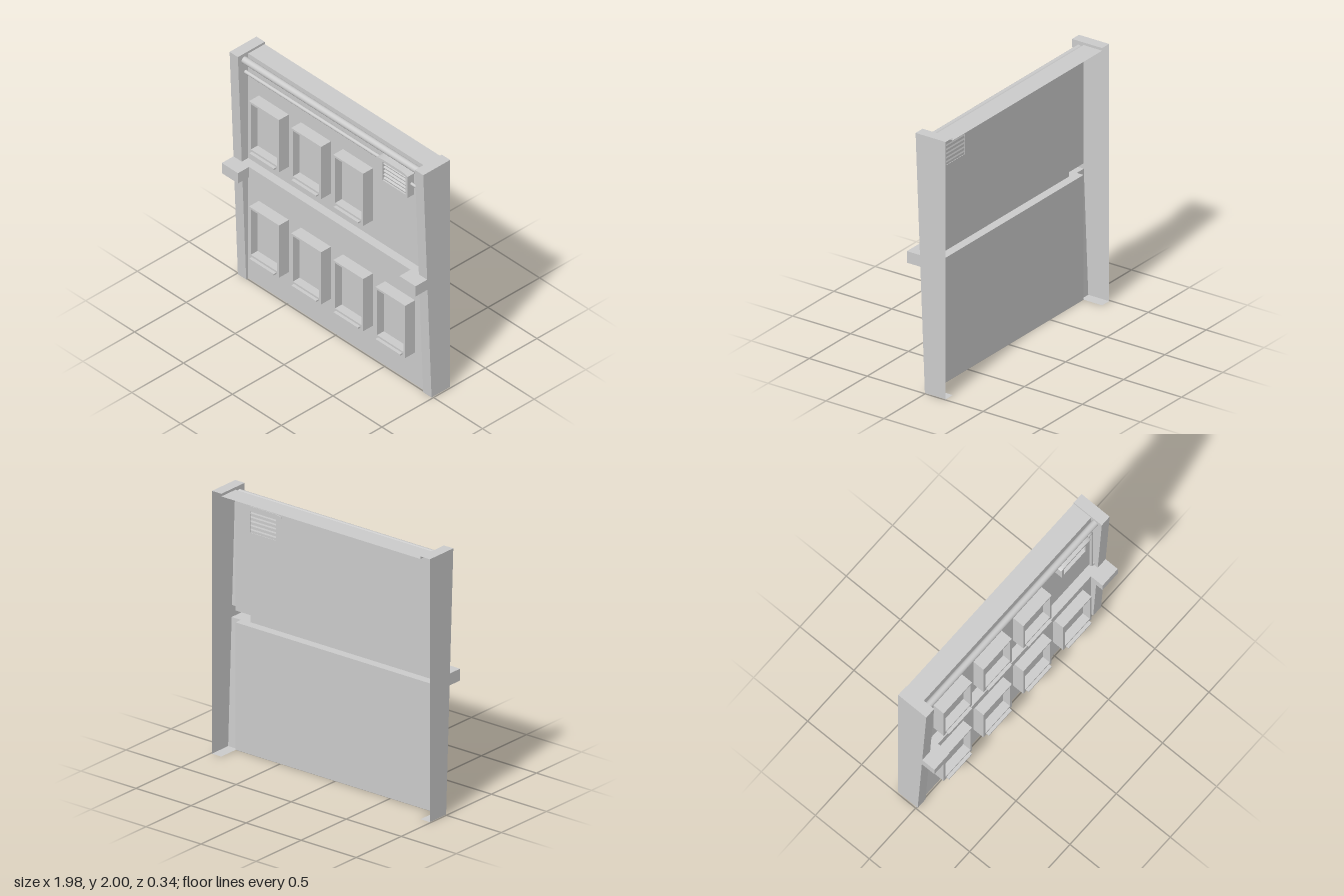
import * as THREE from 'three';

const flat = new THREE.MeshStandardMaterial({ color: 0xcccccc, flatShading: true, side: THREE.DoubleSide });
const smooth = new THREE.MeshStandardMaterial({ color: 0xcccccc, side: THREE.DoubleSide });

const WALL = -0.01, BACK = -0.17, BELT = 0.058, BLOCK = 0.165;
const EDGE = 0.99, INNER = 0.905, BLOCK_X = 0.825;
const BELT_LOW = 0.97, BELT_HIGH = 1.06, WALL_TOP = 1.98, TOP = 2;
const pillarZ = (y) => 0.01 + 0.04 * y; // the pillar fronts lean forward

function add(parent, name, geometry, material = flat) {
  const mesh = new THREE.Mesh(geometry, material);
  mesh.name = name;
  parent.add(mesh);
  return mesh;
}

function box(parent, name, x0, x1, y0, y1, z0, z1) {
  const mesh = add(parent, name, new THREE.BoxGeometry(x1 - x0, y1 - y0, z1 - z0));
  mesh.position.set((x0 + x1) / 2, (y0 + y1) / 2, (z0 + z1) / 2);
  return mesh;
}

// Sheet swept along x from a profile of [y, z] points
function sheet(profile, xa, xb) {
  const x0 = Math.min(xa, xb), x1 = Math.max(xa, xb), pos = [];
  for (let i = 0; i < profile.length - 1; i++) {
    const [y0, z0] = profile[i], [y1, z1] = profile[i + 1];
    pos.push(x0, y0, z0, x1, y0, z0, x1, y1, z1, x0, y0, z0, x1, y1, z1, x0, y1, z1);
  }
  const geometry = new THREE.BufferGeometry();
  geometry.setAttribute('position', new THREE.Float32BufferAttribute(pos, 3));
  geometry.computeVertexNormals();
  return geometry;
}

// Flat plate at a given x, outlined by [y, z] points
function plate(profile, x) {
  const shape = new THREE.Shape(profile.map(([y, z]) => new THREE.Vector2(-z, y)));
  return new THREE.ShapeGeometry(shape).rotateY(Math.PI / 2).translate(x, 0, 0);
}

// Rectangular frame with an opening; each rectangle is [x0, x1, y0, y1]
function frame(outer, inner, z0, z1) {
  const corners = ([x0, x1, y0, y1]) =>
    [[x0, y0], [x1, y0], [x1, y1], [x0, y1]].map(([x, y]) => new THREE.Vector2(x, y));
  const shape = new THREE.Shape(corners(outer));
  shape.holes.push(new THREE.Path(corners(inner)));
  return new THREE.ExtrudeGeometry(shape, { depth: z1 - z0, bevelEnabled: false }).translate(0, 0, z0);
}

function makeWindow(x, y) {
  const group = new THREE.Group();
  group.name = 'window';
  add(group, 'windowFrame', frame([-0.153, 0.153, 0, 0.46], [-0.134, 0.134, 0.045, 0.443], WALL, 0.085));
  const pane = add(group, 'windowPane', new THREE.PlaneGeometry(0.268, 0.398));
  pane.position.set(0, 0.244, 0.02);
  box(group, 'windowSill', -0.125, 0.125, 0.017, 0.029, 0.08, 0.11);
  group.position.set(x, y, 0);
  return group;
}

function makePillar(side) {
  const group = new THREE.Group();
  group.name = side > 0 ? 'leftPillar' : 'rightPillar';
  const block = [[BELT_LOW, BLOCK], [BELT_HIGH, BLOCK]];
  const profile = [[0, BACK], [0, pillarZ(0)], [BELT_LOW, pillarZ(BELT_LOW)], ...block,
    [BELT_HIGH, pillarZ(BELT_HIGH)], [TOP, pillarZ(TOP)], [TOP, BACK]];
  add(group, 'pillarShell', sheet(profile, side * INNER, side * EDGE));
  add(group, 'pillarOuterSide', plate(profile, side * EDGE));
  // Inner returns between wall face and pillar front
  add(group, 'pillarLowerReturn', plate([[0, WALL], [0, pillarZ(0)],
    [BELT_LOW, pillarZ(BELT_LOW)], [BELT_LOW, WALL]], side * INNER));
  add(group, 'pillarUpperReturn', plate([[BELT_HIGH, WALL], [BELT_HIGH, pillarZ(BELT_HIGH)],
    [TOP, pillarZ(TOP)], [TOP, BACK], [WALL_TOP, BACK], [WALL_TOP, WALL]], side * INNER));
  // Block where the belt meets the pillar
  add(group, 'beltBlock', sheet([[BELT_LOW, WALL], ...block, [BELT_HIGH, WALL]], side * BLOCK_X, side * INNER));
  add(group, 'beltBlockSide', plate([[BELT_LOW, BELT], ...block, [BELT_HIGH, BELT]], side * BLOCK_X));
  return group;
}

function makeVent() {
  const group = new THREE.Group();
  group.name = 'vent';
  add(group, 'ventFrame', frame([0.515, 0.79, 1.67, 1.87], [0.535, 0.77, 1.69, 1.85], -0.014, 0.055));
  for (let i = 0; i < 5; i++) {
    const slat = add(group, 'ventSlat', new THREE.BoxGeometry(0.235, 0.012, 0.06));
    slat.position.set(0.6525, 1.706 + i * 0.032, 0.017);
    slat.rotation.x = 0.3;
  }
  // Shallow arched canopy
  const canopy = new THREE.Shape();
  canopy.moveTo(0.49, 1.87);
  canopy.lineTo(0.81, 1.87);
  canopy.lineTo(0.81, 1.876);
  canopy.quadraticCurveTo(0.79, 1.888, 0.74, 1.89);
  canopy.lineTo(0.565, 1.89);
  canopy.quadraticCurveTo(0.51, 1.888, 0.49, 1.876);
  canopy.closePath();
  add(group, 'ventCanopy', new THREE.ExtrudeGeometry(canopy, { depth: 0.085, bevelEnabled: false, curveSegments: 5 })
    .translate(0, 0, -0.014));
  return group;
}

function straightPipe(parent, name, x0, x1, y, z, radius) {
  const pipe = add(parent, name, new THREE.CylinderGeometry(radius, radius, x1 - x0, 16, 1, true), smooth);
  pipe.rotation.z = Math.PI / 2;
  pipe.position.set((x0 + x1) / 2, y, z);
}

export function createModel() {
  const model = new THREE.Group();
  model.name = 'wallSection';

  // Wall faces, belt and top ledge, open at the back
  add(model, 'lowerWall', sheet([[0, WALL], [BELT_LOW, WALL]], -INNER, INNER));
  add(model, 'upperWall', sheet([[BELT_HIGH, WALL], [WALL_TOP, WALL], [WALL_TOP, BACK]], -INNER, INNER));
  add(model, 'belt', sheet([[BELT_LOW, WALL], [BELT_LOW, BELT], [BELT_HIGH, BELT], [BELT_HIGH, WALL]],
    -BLOCK_X, BLOCK_X));
  for (const side of [-1, 1]) model.add(makePillar(side));

  // Four windows below; three above, beside the vent
  for (let i = 0; i < 4; i++) {
    const x = -0.643 + i * 0.43;
    model.add(makeWindow(x, 0.282));
    if (i < 3) model.add(makeWindow(x, 1.21));
  }
  model.add(makeVent());

  // Pipes
  straightPipe(model, 'mainPipe', -INNER, INNER, 1.945, 0.028, 0.027);
  straightPipe(model, 'ventPipe', -INNER, 0.515, 1.835, 0.016, 0.014);
  const path = new THREE.CurvePath();
  const v = (x, y) => new THREE.Vector3(x, y, 0.015);
  path.add(new THREE.LineCurve3(v(0.785, 1.777), v(0.85, 1.777)));
  path.add(new THREE.QuadraticBezierCurve3(v(0.85, 1.777), v(0.88, 1.777), v(0.88, 1.745)));
  path.add(new THREE.LineCurve3(v(0.88, 1.745), v(0.877, 1.12)));
  path.add(new THREE.QuadraticBezierCurve3(v(0.877, 1.12), v(0.877, 1.1), v(0.907, 1.1)));
  add(model, 'drainPipe', new THREE.TubeGeometry(path, 90, 0.012, 10), smooth);

  return model;
}
